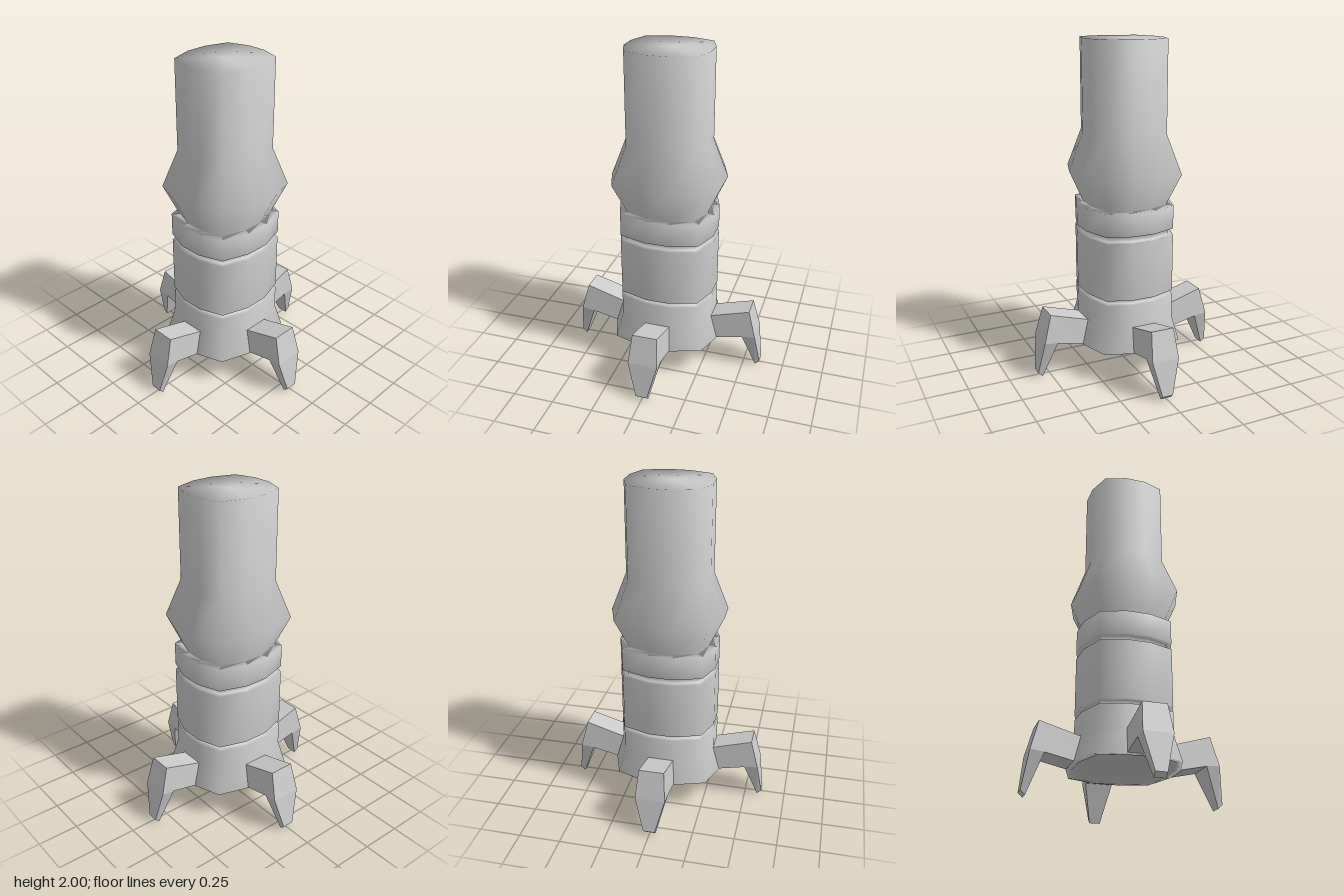
import * as THREE from 'three';

// Skins equal-length rings of [x, y, z] points, in order along the part.
function loft(rings) {
  const n = rings[0].length;
  const index = [];
  for (let r = 0; r < rings.length - 1; r++) {
    for (let i = 0; i < n; i++) {
      const a = r * n + i, b = r * n + (i + 1) % n;
      const c = a + n, d = b + n;
      index.push(a, c, b, b, c, d);
    }
  }
  const geometry = new THREE.BufferGeometry();
  geometry.setAttribute('position', new THREE.Float32BufferAttribute(rings.flat(2), 3));
  geometry.setIndex(index);
  geometry.computeVertexNormals();
  return geometry;
}

// Twelve-sided rounded-square outline, slightly deeper than wide.
const half = [[1, 0.26], [0.8, 0.82], [0.26, 1], [-0.26, 1], [-0.8, 0.82], [-1, 0.26]];
const outline = [...half, ...half.map(([x, z]) => [-x, -z])];
const DEPTH = 1.08;

function createBody(material) {
  // [half width, height] from the underside recess to the flat top
  const profile = [
    [0, 0.22], [0.25, 0.22], [0.28, 0.19], [0.31, 0.19], // recessed underside
    [0.27, 0.34], [0.27, 0.48],                          // flared base
    [0.24, 0.48], [0.24, 0.51],                          // lower groove
    [0.27, 0.51], [0.27, 0.86],                          // middle drum
    [0.24, 0.86], [0.24, 0.90],                          // upper groove
    [0.27, 0.90], [0.27, 1.04],                          // collar
    [0.23, 1.04], [0.31, 1.23], [0.23, 1.46],            // bulge
    [0.23, 2], [0, 2],                                   // barrel and cap
  ];
  const rings = profile.map(([s, y]) => outline.map(([x, z]) => [x * s, y, z * s * DEPTH]));
  const body = new THREE.Mesh(loft(rings), material);
  body.name = 'segmentedBody';
  return body;
}

// Bent leg reaching out along +x.
function createLeg(material, shift, widthScale) {
  // Sections: upper [reach, height, half width], lower [reach, height, half width]
  const sections = [
    [[0.25, 0.335, 0.078], [0.29, 0.19, 0.09]],  // root
    [[0.505, 0.41, 0.075], [0.47, 0.23, 0.09]],  // top of knee
    [[0.55, 0.24, 0.09], [0.47, 0.23, 0.09]],    // below knee
    [[0.58, 0.03, 0.035], [0.553, 0.005, 0.035]], // foot tip
  ];
  const rings = sections.map(([[r1, y1, w1], [r2, y2, w2]]) => [
    [r1 + shift, y1, w1 * widthScale], [r1 + shift, y1, -w1 * widthScale],
    [r2 + shift, y2, -w2 * widthScale], [r2 + shift, y2, w2 * widthScale],
  ]);
  // Close the foot tip
  const tip = rings[rings.length - 1];
  const centre = [0, 1, 2].map((k) => (tip[0][k] + tip[1][k] + tip[2][k] + tip[3][k]) / 4);
  rings.push([centre, centre, centre, centre]);
  return new THREE.Mesh(loft(rings), material);
}

export function createModel() {
  const model = new THREE.Group();
  model.name = 'leggedColumn';
  const smooth = new THREE.MeshStandardMaterial({ color: 0xcccccc });
  const faceted = new THREE.MeshStandardMaterial({ color: 0xcccccc, flatShading: true });

  model.add(createBody(smooth));

  // Four legs, the front and back pair standing a little further out
  ['leftLeg', 'backLeg', 'rightLeg', 'frontLeg'].forEach((name, i) => {
    const alongZ = i % 2 === 1;
    const leg = createLeg(faceted, alongZ ? 0.025 : 0, alongZ ? 0.93 : 1);
    leg.name = name;
    leg.rotation.y = i * Math.PI / 2;
    model.add(leg);
  });
  return model;
}
